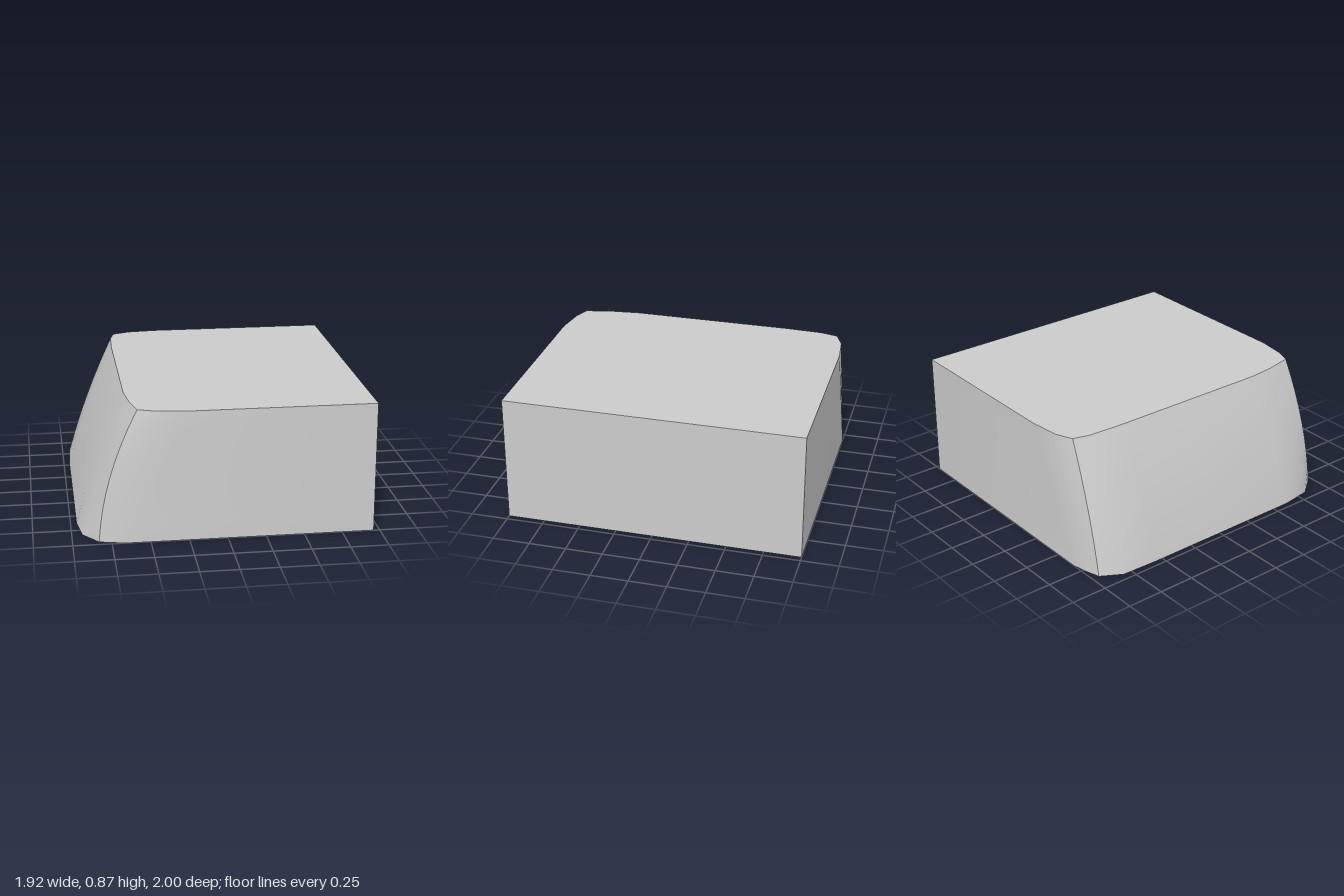
import * as THREE from 'three';
import { toCreasedNormals } from 'three/addons/utils/BufferGeometryUtils.js';

const HEIGHT = 0.87;
const LEVELS = 8;

// Plan outline: [bottom x, bottom z, top x, top z, outward bulge at mid height]
const OUTLINE = [
  [0.96, 1, 0.96, 1, 0],
  [-0.66, 1, -0.27, 1, 0],
  [-0.75, 0.98, -0.47, 0.97, 0.02],
  [-0.83, 0.96, -0.57, 0.93, 0.05],
  [-0.93, 0.83, -0.61, 0.74, 0.022],
  [-0.96, 0.62, -0.63, 0.55, 0.022],
  [-0.96, 0, -0.63, 0, 0.022],
  [-0.96, -0.55, -0.63, -0.55, 0.022],
  [-0.95, -0.81, -0.62, -0.81, 0.022],
  [-0.87, -0.95, -0.59, -0.93, 0.022],
  [-0.77, -0.98, -0.47, -0.98, 0.01],
  [-0.67, -1, -0.27, -1, 0],
  [0.96, -1, 0.96, -1, 0],
];

// One outline ring at height fraction t
function ring(t) {
  return OUTLINE.map(([bx, bz, tx, tz, bulge]) => [
    bx + (tx - bx) * t - 4 * t * (1 - t) * bulge,
    HEIGHT * t,
    bz + (tz - bz) * t,
  ]);
}

function meshFrom(name, positions, indices, material) {
  const geometry = new THREE.BufferGeometry();
  geometry.setAttribute('position', new THREE.Float32BufferAttribute(positions.flat(), 3));
  geometry.setIndex(indices);
  const mesh = new THREE.Mesh(toCreasedNormals(geometry, 0.6), material);
  mesh.name = name;
  return mesh;
}

export function createModel() {
  const group = new THREE.Group();
  group.name = 'taperedBlock';
  const material = new THREE.MeshStandardMaterial({ color: 0xcccccc });
  const n = OUTLINE.length;

  // Walls: straight on three sides, sloped with rounded corners on the right
  const points = [];
  const faces = [];
  for (let j = 0; j <= LEVELS; j++) points.push(...ring(j / LEVELS));
  for (let j = 0; j < LEVELS; j++) {
    for (let i = 0; i < n; i++) {
      const k = (i + 1) % n;
      const a = j * n + i, b = j * n + k;
      faces.push(b, a, a + n, b, a + n, b + n);
    }
  }
  group.add(meshFrom('walls', points, faces, material));

  // Flat top and bottom
  const top = [];
  const bottom = [];
  for (let i = 1; i < n - 1; i++) {
    top.push(0, i + 1, i);
    bottom.push(0, i, i + 1);
  }
  group.add(meshFrom('topFace', ring(1), top, material));
  group.add(meshFrom('bottomFace', ring(0), bottom, material));
  return group;
}
